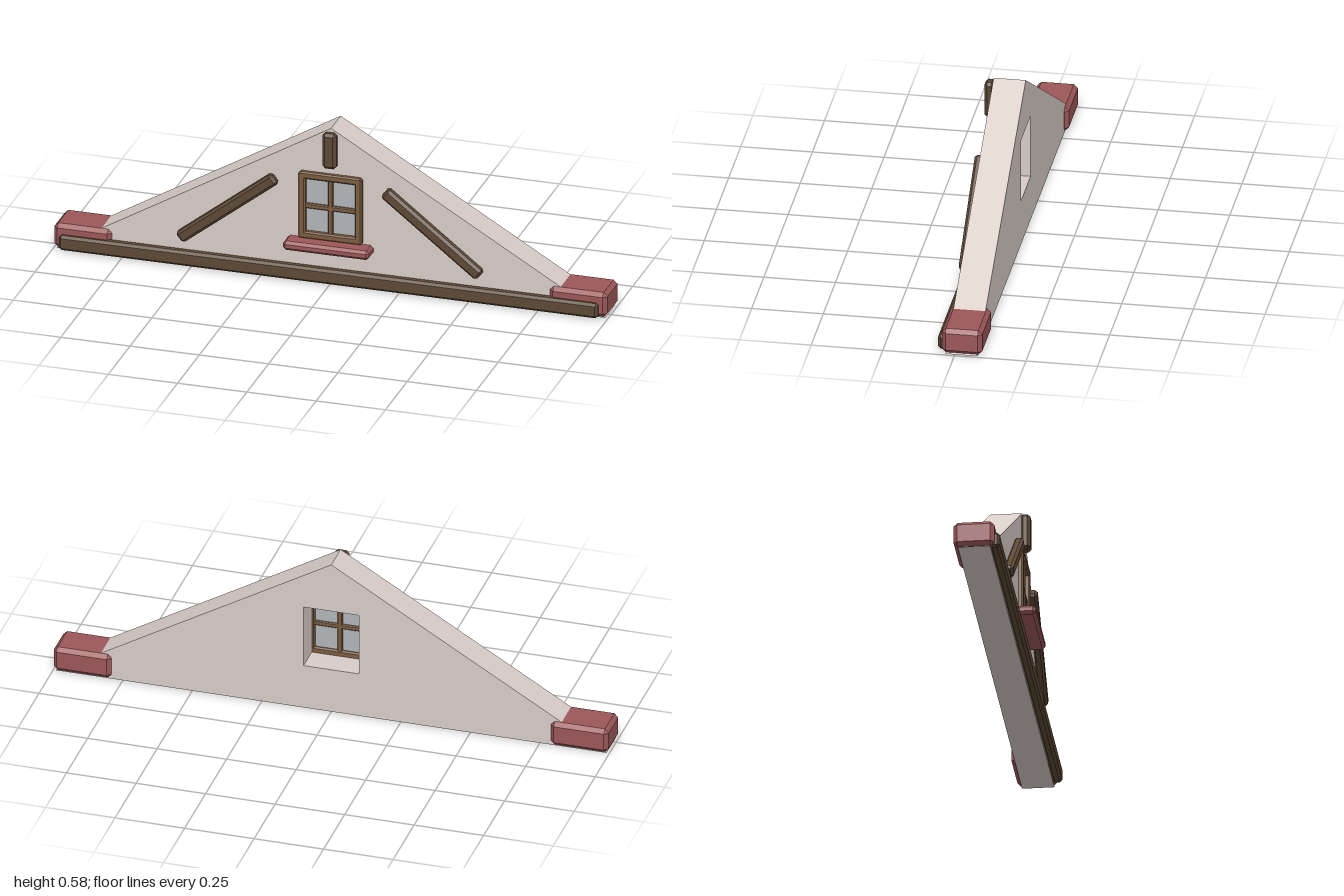
import * as THREE from 'three';
import { ConvexGeometry } from 'three/addons/geometries/ConvexGeometry.js';

const paint = (color) => new THREE.MeshStandardMaterial({ color });
const plaster = paint(0xd8ccc7);
const stone = paint(0x9c5759);
const timber = paint(0x5e4935);
const frameWood = paint(0x7c5c40);
const glass = paint(0xb2b5b8);

// Box with every edge cut at 45 degrees
function chamferBox(w, h, d, c) {
  const points = [];
  for (const x of [-1, 1]) for (const y of [-1, 1]) for (const z of [-1, 1]) {
    for (let axis = 0; axis < 3; axis++) {
      const inset = [c, c, c];
      inset[axis] = 0;
      points.push(new THREE.Vector3(
        x * (w / 2 - inset[0]), y * (h / 2 - inset[1]), z * (d / 2 - inset[2])));
    }
  }
  return new ConvexGeometry(points);
}

// Chamfered block given by its limits on each axis
function block(name, material, [x0, x1], [y0, y1], [z0, z1], c) {
  const mesh = new THREE.Mesh(chamferBox(x1 - x0, y1 - y0, z1 - z0, c), material);
  mesh.position.set((x0 + x1) / 2, (y0 + y1) / 2, (z0 + z1) / 2);
  mesh.name = name;
  return mesh;
}

export function createModel() {
  const model = new THREE.Group();
  model.name = 'gable';

  // Triangular wall with a window opening
  const shape = new THREE.Shape();
  shape.moveTo(-0.99, 0.004);
  shape.lineTo(0.99, 0.004);
  shape.lineTo(0, 0.586);
  shape.closePath();
  const opening = new THREE.Path();
  opening.moveTo(-0.1, 0.17);
  opening.lineTo(-0.1, 0.402);
  opening.lineTo(0.1, 0.402);
  opening.lineTo(0.1, 0.17);
  opening.closePath();
  shape.holes.push(opening);
  const wallGeometry = new THREE.ExtrudeGeometry(shape, { depth: 0.112, bevelEnabled: false });
  wallGeometry.translate(0, 0, -0.08);
  const wall = new THREE.Mesh(wallGeometry, plaster);
  wall.name = 'wall';
  model.add(wall);

  // Timber along the foot and short post below the peak
  model.add(block('footBeam', timber, [-0.975, 0.97], [0.008, 0.063], [0.028, 0.063], 0.009));
  model.add(block('peakPost', timber, [-0.025, 0.025], [0.442, 0.574], [0.028, 0.062], 0.01));

  // Corner stones and slanted braces, mirrored
  for (const side of [-1, 1]) {
    const name = side > 0 ? 'left' : 'right';
    const xs = side > 0 ? [0.79, 0.998] : [-0.998, -0.79];
    model.add(block(name + 'CornerStone', stone, xs, [0.008, 0.099], [-0.095, 0.046], 0.014));

    const brace = new THREE.Mesh(chamferBox(0.436, 0.044, 0.034, 0.009), timber);
    brace.position.set(side * 0.37, 0.244, 0.045);
    brace.rotation.z = -side * Math.atan2(0.252, 0.322);
    brace.name = name + 'Brace';
    model.add(brace);
  }

  // Window frame, crossbars, pane and sill
  const window = new THREE.Group();
  window.name = 'window';
  const frameDepth = [0.018, 0.048];
  for (const side of [-1, 1]) {
    const x = side * 0.102;
    window.add(block('frameUpright', frameWood, [x - 0.013, x + 0.013], [0.165, 0.412], frameDepth, 0.005));
  }
  for (const y of [0.178, 0.402]) {
    window.add(block('frameRail', frameWood, [-0.112, 0.112], [y - 0.013, y + 0.013], frameDepth, 0.005));
  }
  window.add(block('uprightBar', frameWood, [-0.009, 0.009], [0.178, 0.4], [0.02, 0.042], 0.003));
  window.add(block('crossBar', frameWood, [-0.1, 0.1], [0.277, 0.295], [0.02, 0.041], 0.003));
  const pane = new THREE.Mesh(new THREE.BoxGeometry(0.196, 0.228, 0.004), glass);
  pane.position.set(0, 0.288, 0.029);
  pane.name = 'pane';
  window.add(pane);
  window.add(block('sill', stone, [-0.156, 0.154], [0.132, 0.166], [0.025, 0.096], 0.01));
  model.add(window);

  return model;
}
